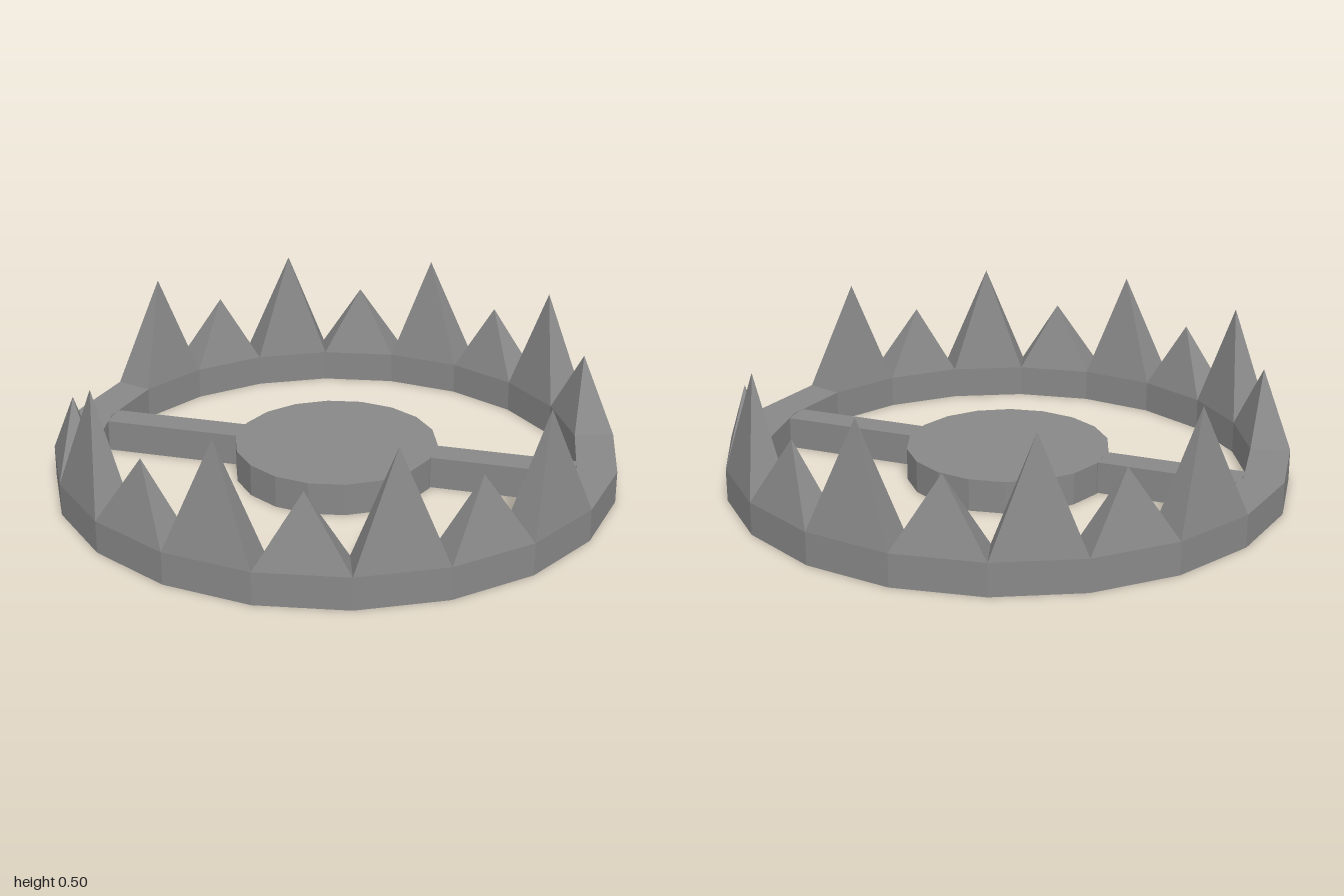
import * as THREE from 'three';

const H = 0.115;          // height of ring, bar and pan
const SIDES = 20;         // ring segments
const OUTER = 1, INNER = 0.86;
const MID = (OUTER + INNER) / 2 * Math.cos(Math.PI / SIDES);

const steel = new THREE.MeshStandardMaterial({ color: 0x888888 });
steel.name = 'steel grey';
steel.flatShading = true;
steel.side = THREE.DoubleSide;

// Point at radius r, ring step k and height y
const at = (r, k, y) => {
  const a = k * 2 * Math.PI / SIDES;
  return [r * Math.cos(a), y, r * Math.sin(a)];
};

// Mesh from a list of triangles or quads
function facesMesh(name, faces) {
  const pos = [];
  for (const f of faces) {
    for (let i = 1; i < f.length - 1; i++) pos.push(...f[0], ...f[i], ...f[i + 1]);
  }
  const geo = new THREE.BufferGeometry();
  geo.setAttribute('position', new THREE.Float32BufferAttribute(pos, 3));
  geo.computeVertexNormals();
  return named(name, geo);
}

function named(name, geo) {
  const mesh = new THREE.Mesh(geo, steel);
  mesh.name = name;
  return mesh;
}

export function createModel() {
  const model = new THREE.Group();
  model.name = 'jawTrap';

  const ring = [];
  const teeth = new THREE.Group();
  teeth.name = 'teeth';

  for (let k = 0; k < SIDES; k++) {
    const n = k + 1;
    // Outer wall, inner wall and underside of one ring segment
    ring.push([at(OUTER, k, 0), at(OUTER, k, H), at(OUTER, n, H), at(OUTER, n, 0)]);
    ring.push([at(INNER, n, 0), at(INNER, n, H), at(INNER, k, H), at(INNER, k, 0)]);
    ring.push([at(OUTER, k, 0), at(OUTER, n, 0), at(INNER, n, 0), at(INNER, k, 0)]);

    const top = [at(INNER, k, H), at(INNER, n, H), at(OUTER, n, H), at(OUTER, k, H)];
    if (k % 10 === 0 || k % 10 === 9) {
      // Flat hinge segments at the two sides
      ring.push(top);
    } else {
      // Pyramid tooth, alternately tall and short
      const apex = at(MID, k + 0.5, k % 2 ? 0.505 : 0.365);
      teeth.add(facesMesh('tooth', top.map((p, i) => [p, top[(i + 1) % 4], apex])));
    }
  }
  model.add(facesMesh('ring', ring), teeth);

  // Cross bar: a channel open underneath
  const barGeo = new THREE.BoxGeometry(1.712, H - 0.001, 0.106);
  const idx = Array.from(barGeo.index.array);
  idx.splice(18, 6);
  barGeo.setIndex(idx);
  barGeo.clearGroups();
  barGeo.translate(0, (H - 0.001) / 2, 0);
  model.add(named('crossBar', barGeo));

  // Trigger pan: a shallow cup turned upside down
  const pan = new THREE.Group();
  pan.name = 'triggerPan';
  const wall = new THREE.CylinderGeometry(0.362, 0.362, H, 18, 1, true);
  wall.translate(0, H / 2, 0);
  const lid = new THREE.CircleGeometry(0.362, 18, Math.PI / 2);
  lid.rotateX(-Math.PI / 2);
  lid.translate(0, H, 0);
  pan.add(named('panWall', wall), named('panTop', lid));
  model.add(pan);

  return model;
}
